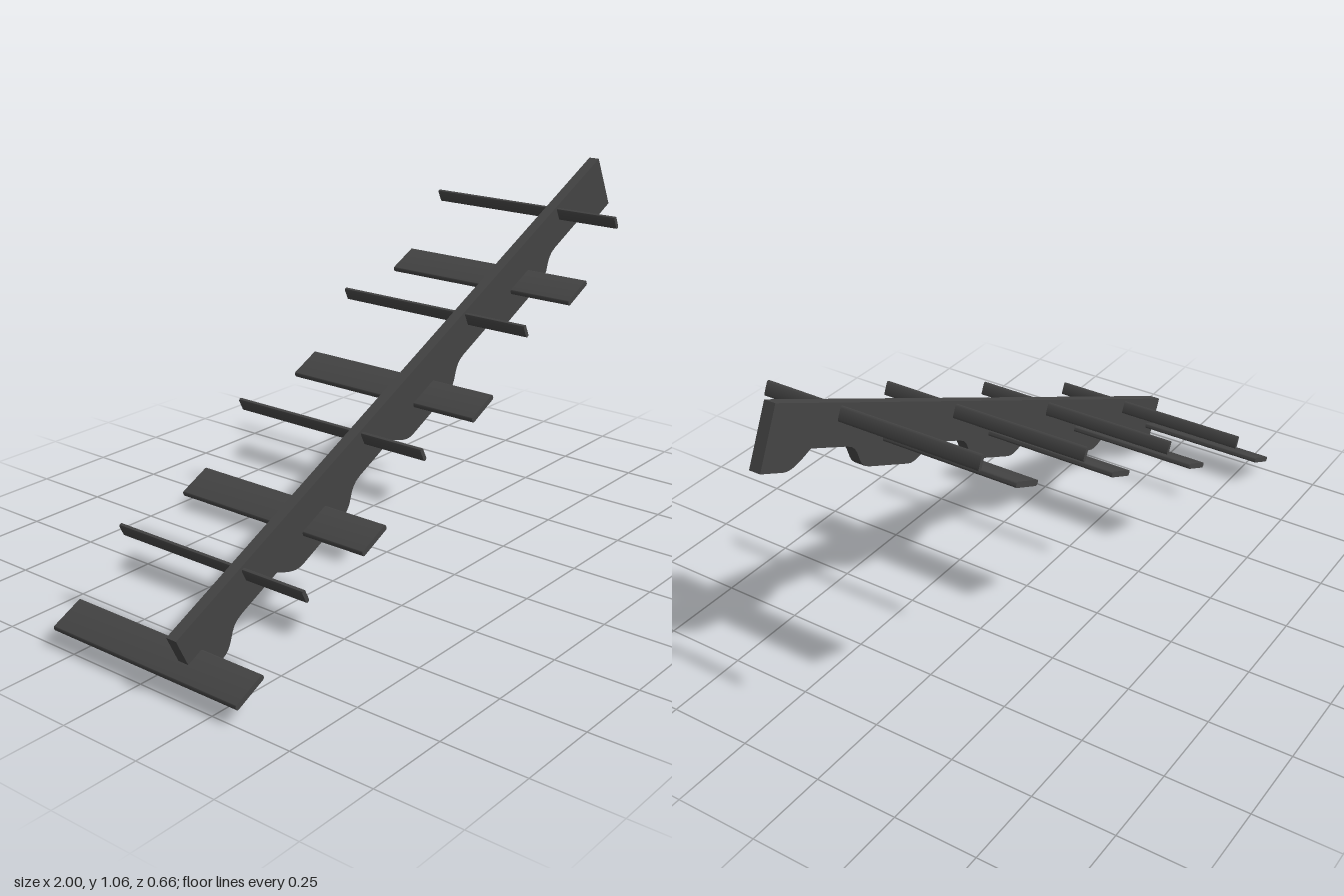
import * as THREE from 'three';
import { toCreasedNormals } from 'three/addons/utils/BufferGeometryUtils.js';

const ANGLE = 0.4425;   // slope of the whole ladder
const LENGTH = 2.12;    // rail length along the slope
const HEIGHT = 0.172;   // rail depth across the slope
const STEP = 0.531;     // distance between repeats
const COUNT = 4;

const material = new THREE.MeshStandardMaterial({ color: 0x444444 });

function extrude(shape, zMin, zMax, curveSegments) {
  const geometry = new THREE.ExtrudeGeometry(shape, {
    depth: zMax - zMin, bevelEnabled: false, curveSegments,
  });
  geometry.translate(0, 0, zMin);
  return toCreasedNormals(geometry, 0.6);
}

// Rail outline: straight top, underside with repeated shallow cut-outs
function railShape() {
  const s = new THREE.Shape();
  s.moveTo(0, 0);
  for (let i = 0; i < COUNT; i++) {
    const u = i * STEP;
    s.lineTo(u + 0.09, 0);
    s.bezierCurveTo(u + 0.15, 0, u + 0.14, 0.057, u + 0.204, 0.057);
    s.lineTo(u + 0.353, 0.057);
    s.bezierCurveTo(u + 0.378, 0.034, u + 0.405, 0, u + 0.442, 0);
  }
  s.lineTo(LENGTH, 0);
  s.lineTo(LENGTH, HEIGHT);
  s.lineTo(0, HEIGHT);
  s.closePath();
  return s;
}

// Slat section: rectangle with rounded corners, centred on the origin
function slatShape(w, h, r) {
  const x = w / 2, y = h / 2;
  const s = new THREE.Shape();
  s.moveTo(-x + r, -y);
  s.lineTo(x - r, -y);
  s.absarc(x - r, -y + r, r, -Math.PI / 2, 0);
  s.lineTo(x, y - r);
  s.absarc(x - r, y - r, r, 0, Math.PI / 2);
  s.lineTo(-x + r, y);
  s.absarc(-x + r, y - r, r, Math.PI / 2, Math.PI);
  s.lineTo(-x, -y + r);
  s.absarc(-x + r, -y + r, r, Math.PI, Math.PI * 1.5);
  return s;
}

export function createModel() {
  const model = new THREE.Group();
  model.name = 'slopedRailWithSlats';

  // Everything is laid out along the rail, then tilted
  const frame = new THREE.Group();
  frame.name = 'slopedFrame';
  frame.position.set(-0.916, 0, 0);
  frame.rotation.z = ANGLE;
  model.add(frame);

  const add = (name, geometry, u, v) => {
    const mesh = new THREE.Mesh(geometry, material);
    mesh.name = name;
    mesh.position.set(u, v, 0);
    frame.add(mesh);
  };

  add('rail', extrude(railShape(), 0.091, 0.125, 8), 0, 0);

  const wide = slatShape(0.108, 0.0165, 0.006);
  const narrow = slatShape(0.012, 0.041, 0.005);
  for (let i = 0; i < COUNT; i++) {
    // Wide slats lie along the slope; the lowest is slightly longer
    const back = i === 0 ? -0.328 : -0.32;
    add('wideSlat' + (i + 1), extrude(wide, back, 0.328, 4), 0.0015 + i * STEP, 0.0756);
    // Narrow slats stand on edge across the slope
    add('narrowSlat' + (i + 1), extrude(narrow, -0.328, 0.328, 4), 0.264 + i * STEP, 0.1438);
  }
  return model;
}
